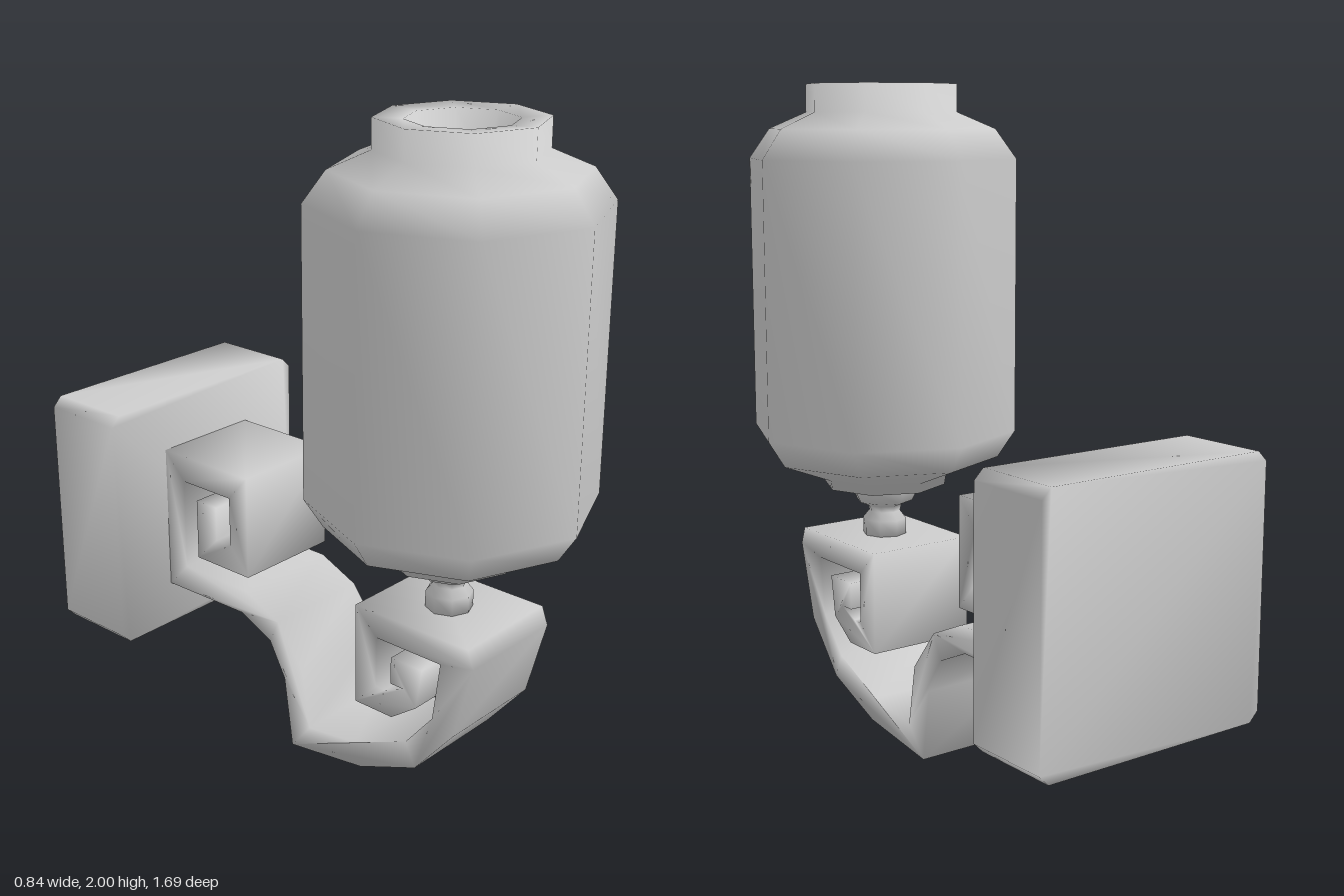
import * as THREE from 'three';
import { mergeVertices } from 'three/addons/utils/BufferGeometryUtils.js';

const material = new THREE.MeshStandardMaterial({ color: 0xcccccc });

// Weld shared corners so the low-poly forms shade softly
function smoothMesh(name, geometry) {
  geometry.deleteAttribute('normal');
  geometry.deleteAttribute('uv');
  const welded = mergeVertices(geometry, 1e-4);
  welded.computeVertexNormals();
  const mesh = new THREE.Mesh(welded, material);
  mesh.name = name;
  return mesh;
}

const toPoints = (pairs) => pairs.map(([a, b]) => new THREE.Vector2(a, b));

// Eight-sided turned part, [radius, height] from bottom to top
function turned(name, profile) {
  const mesh = smoothMesh(name, new THREE.LatheGeometry(toPoints(profile), 8));
  mesh.position.z = 0.425;
  return mesh;
}

export function createModel() {
  const group = new THREE.Group();
  group.name = 'wallLamp';

  // Wall plate: block with clipped corners
  const w = 0.39, y0 = 0.25, y1 = 1.02, c = 0.03;
  const plateShape = new THREE.Shape(toPoints([
    [-w + c, y0], [w - c, y0], [w, y0 + c], [w, y1 - c],
    [w - c, y1], [-w + c, y1], [-w, y1 - c], [-w, y0 + c],
  ]));
  const plate = new THREE.ExtrudeGeometry(plateShape, { depth: 0.275, bevelEnabled: false });
  plate.translate(0, 0, -0.85);
  group.add(smoothMesh('wallPlate', plate));

  // Scrolled arm: side outline as [z, y], extruded across the width
  const outline = [
    // underside, from the plate to the front scroll
    [-0.575, 0.39], [-0.25, 0.395], [-0.13, 0.34], [-0.07, 0.23], [-0.04, 0.005],
    [0.24, 0.045], [0.45, 0.13], [0.585, 0.29], [0.65, 0.53], [0.63, 0.585],
    // front scroll, winding inwards and back out
    [0.22, 0.585], [0.22, 0.265], [0.36, 0.265], [0.45, 0.33], [0.47, 0.46],
    [0.355, 0.46], [0.355, 0.375], [0.405, 0.375], [0.335, 0.345], [0.30, 0.345],
    [0.30, 0.505], [0.535, 0.505],
    // top side, back towards the plate
    [0.51, 0.32], [0.415, 0.205], [0.22, 0.12], [0.035, 0.095], [0.005, 0.285],
    [-0.095, 0.415], [-0.23, 0.475], [-0.495, 0.475],
    // rear scroll
    [-0.495, 0.77], [-0.295, 0.77], [-0.295, 0.61], [-0.355, 0.61], [-0.355, 0.72],
    [-0.44, 0.72], [-0.44, 0.525], [-0.22, 0.525], [-0.22, 0.855], [-0.575, 0.855],
  ];
  const width = 0.354;
  const arm = new THREE.ExtrudeGeometry(new THREE.Shape(toPoints(outline)), {
    depth: width, bevelEnabled: false,
  });
  arm.rotateY(-Math.PI / 2);
  arm.translate(width / 2, 0, 0);
  group.add(smoothMesh('scrolledArm', arm));

  // Turned stem between arm and shade
  group.add(turned('stem', [
    [0, 0.58], [0.07, 0.585], [0.07, 0.635], [0.05, 0.66], [0.055, 0.68],
    [0.09, 0.695], [0.11, 0.735], [0.11, 0.76],
  ]));

  // Jar-shaped shade with a thick collar and a hollow mouth
  group.add(turned('shade', [
    [0, 0.735], [0.105, 0.735], [0.195, 0.75], [0.2, 0.78], [0.365, 0.845],
    [0.42, 0.93], [0.42, 1.775], [0.355, 1.865], [0.237, 1.915], [0.237, 2.0],
    [0.155, 1.995], [0.11, 1.88], [0, 1.85],
  ]));

  return group;
}
